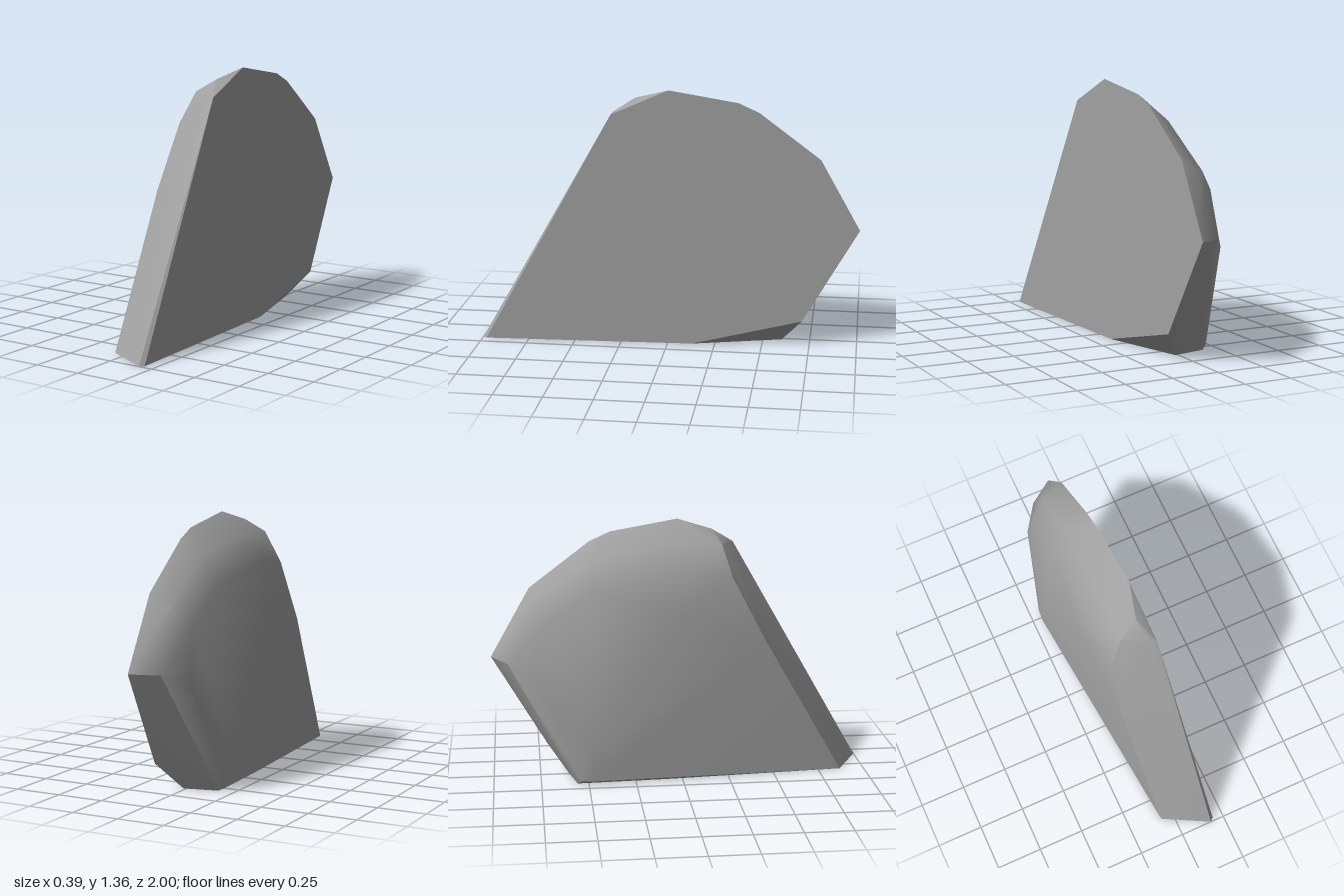
import * as THREE from 'three';
import { ConvexGeometry } from 'three/addons/geometries/ConvexGeometry.js';
import { toCreasedNormals } from 'three/addons/utils/BufferGeometryUtils.js';

const V = (x, y, z) => new THREE.Vector3(x, y, z);

export function createModel() {
  const stone = new THREE.MeshStandardMaterial({ color: 0xa0a0a0 });
  stone.name = 'stoneGrey';

  // Split face: outline as [z, y] on one leaning plane
  const splitFace = [
    [0.98, 0], [0.3, 1.23], [0, 1.36], [-0.36, 1.3], [-0.47, 1.25],
    [-0.79, 1.01], [-1, 0.64], [-0.71, 0.14], [-0.13, 0],
  ].map(([z, y]) => V(0.151 - 0.0265 * y + 0.044 * z, y, z));

  // Narrow bevel and sloping front
  const front = [
    V(0.175, 0, 1), V(0.095, 1.24, 0.29), V(-0.07, 0, 0.87),
    V(-0.12, 0.75, 0.44), V(-0.1, 1.08, 0.27),
  ];

  // Rounded crown and back, from the split face outwards
  const crown = [
    V(0.07, 1.31, 0.18), V(-0.03, 1.245, 0.22), V(-0.03, 1.245, -0.1),
    V(-0.02, 1.17, -0.45), V(-0.03, 0.95, -0.78), V(-0.04, 0.63, -0.91),
    V(-0.115, 1.115, 0.05), V(-0.11, 1.02, -0.45), V(-0.11, 0.85, -0.72),
    V(-0.13, 0.57, -0.79), V(-0.148, 0.9, 0),
  ];

  // Widest side and chipped foot
  const foot = [
    V(-0.2, 0.2, -0.48), V(-0.2, 0.02, -0.48), V(-0.195, 0.02, -0.54),
    V(-0.165, 0, -0.56), V(-0.145, 0, -0.1), V(0.015, 0, -0.6),
  ];

  const hull = new ConvexGeometry([...splitFace, ...front, ...crown, ...foot]);
  const slab = new THREE.Mesh(toCreasedNormals(hull, 0.65), stone);
  slab.name = 'rockSlab';

  const group = new THREE.Group();
  group.name = 'rock';
  group.add(slab);
  return group;
}
